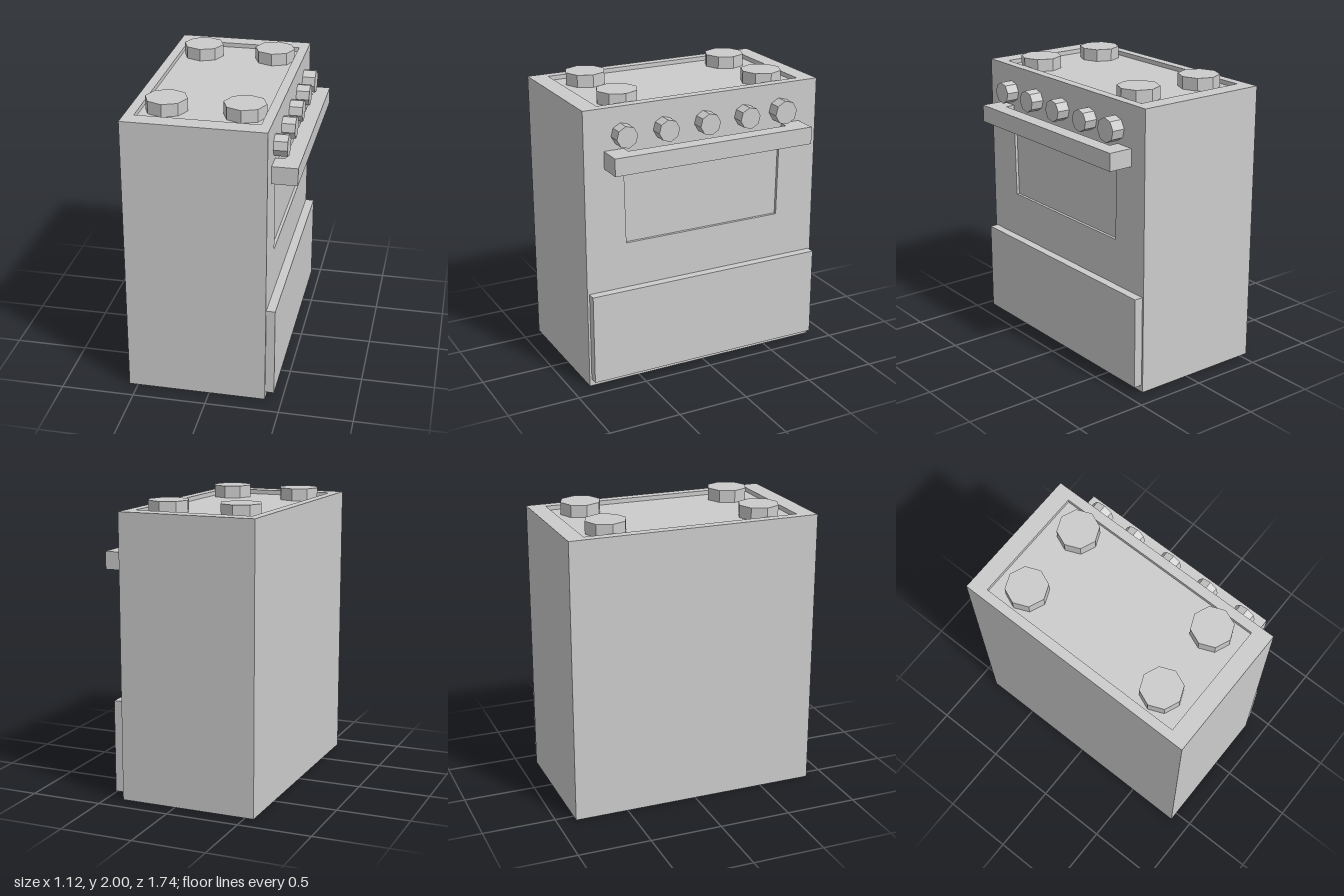
import * as THREE from 'three';

const grey = new THREE.MeshStandardMaterial({ color: 0xcccccc, flatShading: true });

function add(parent, name, geometry, x = 0, y = 0, z = 0) {
  const mesh = new THREE.Mesh(geometry, grey);
  mesh.name = name;
  mesh.position.set(x, y, z);
  parent.add(mesh);
  return mesh;
}

// Box given by its limits on each axis
function block(parent, name, [x0, x1], [y0, y1], [z0, z1]) {
  return add(parent, name, new THREE.BoxGeometry(x1 - x0, y1 - y0, z1 - z0),
    (x0 + x1) / 2, (y0 + y1) / 2, (z0 + z1) / 2);
}

// Flat panel with an opening, both outlines given as corner lists
function frame(outer, inner, depth) {
  const toPoints = (list) => list.map(([a, b]) => new THREE.Vector2(a, b));
  const shape = new THREE.Shape(toPoints(outer));
  shape.holes.push(new THREE.Path(toPoints(inner)));
  return new THREE.ExtrudeGeometry(shape, { depth, bevelEnabled: false });
}

export function createModel() {
  const stove = new THREE.Group();
  stove.name = 'stove';

  const back = -0.56, front = 0.385, half = 0.87, top = 1.945;
  const hobDepth = 0.03, windowDepth = 0.02;

  // Cabinet core, with the panels that form the sunken hob and oven window
  const cabinet = new THREE.Group();
  cabinet.name = 'cabinet';
  stove.add(cabinet);
  block(cabinet, 'cabinetCore', [back, front - windowDepth], [0, top - hobDepth], [-half, half]);

  const hobRim = frame(
    [[back, -half], [front, -half], [front, half], [back, half]],
    [[-0.495, -0.745], [-0.495, 0.75], [0.32, 0.75], [0.32, -0.745]],
    hobDepth).rotateX(-Math.PI / 2);
  add(cabinet, 'hobRim', hobRim, 0, top - hobDepth, 0);

  const ovenFront = frame(
    [[-half, 0], [half, 0], [half, top - hobDepth], [-half, top - hobDepth]],
    [[-0.58, 1.0], [-0.592, 1.6], [0.586, 1.6], [0.575, 1.0]],
    windowDepth).rotateY(Math.PI / 2);
  add(cabinet, 'ovenFront', ovenFront, front - windowDepth, 0, 0);

  // Four octagonal burners
  const burnerHeight = 2 - top + hobDepth;
  for (const x of [-0.336, 0.179]) {
    for (const z of [-0.548, 0.538]) {
      add(stove, 'burner', new THREE.CylinderGeometry(0.141, 0.141, burnerHeight, 8),
        x, 2 - burnerHeight / 2, z);
    }
  }

  // Row of control knobs; the one at the far end is slightly larger
  [0.602, 0.302, 0, -0.302, -0.58].forEach((z, i) => {
    const r = i === 4 ? 0.083 : 0.075;
    const knob = new THREE.CylinderGeometry(r, r, 0.09, 8)
      .rotateZ(-Math.PI / 2).rotateX(0.13);
    add(stove, 'knob', knob, front + 0.045, 1.76, z);
  });

  // Oven handle on two end brackets
  const handle = new THREE.Group();
  handle.name = 'ovenHandle';
  stove.add(handle);
  const handleY = [1.54, 1.66];
  block(handle, 'handleBar', [0.45, 0.555], handleY, [-0.735, 0.728]);
  block(handle, 'handleBracket', [front, 0.45], handleY, [-0.735, -0.595]);
  block(handle, 'handleBracket', [front, 0.45], handleY, [0.588, 0.728]);

  // Drawer front
  block(stove, 'drawer', [front, 0.445], [0.05, 0.682], [-0.858, 0.855]);

  return stove;
}
